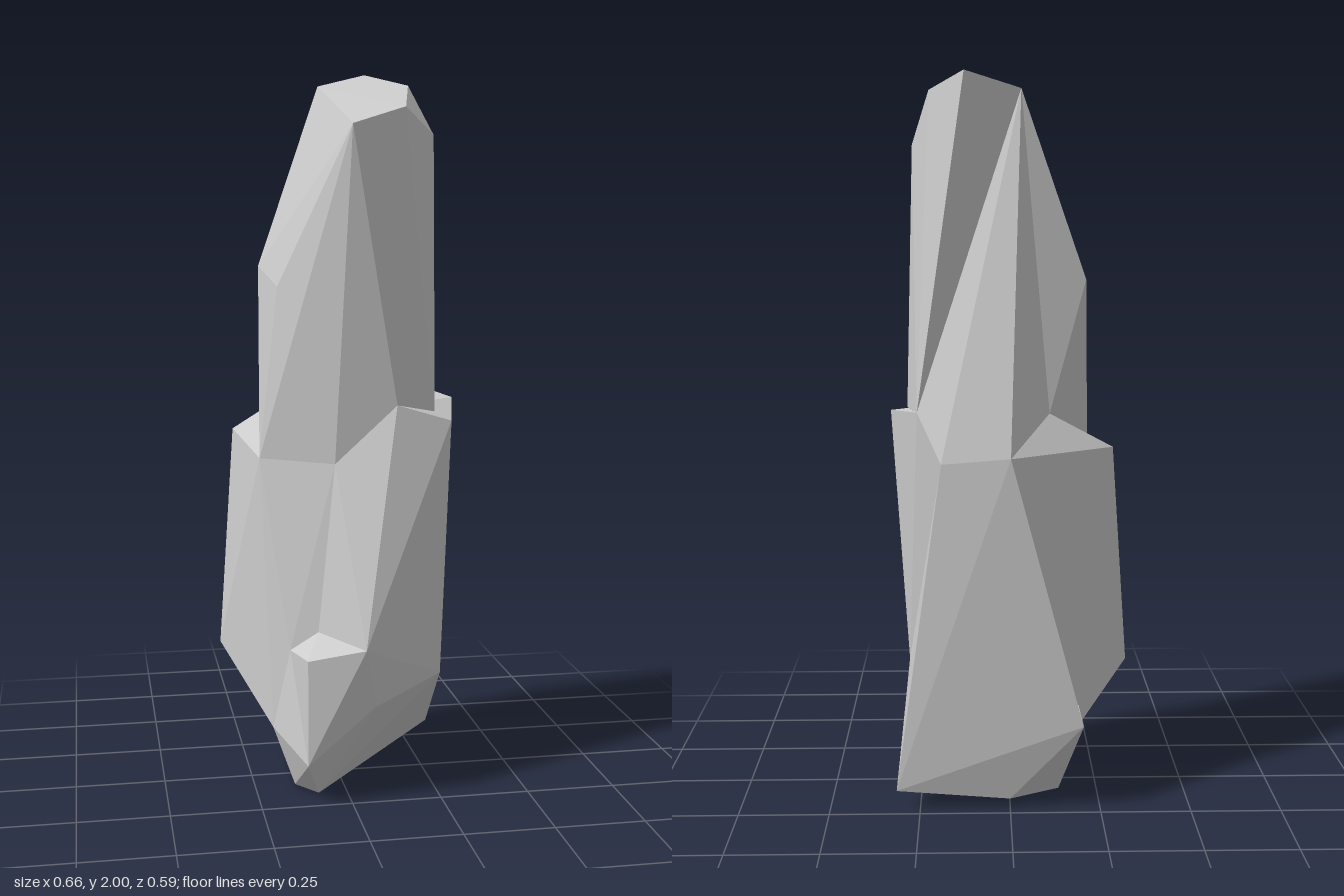
import * as THREE from 'three';
import { ConvexGeometry } from 'three/addons/geometries/ConvexGeometry.js';

// Corners of the rock that neighbouring slabs share
const P = {
  // sloping crown
  crownBack: [0.12, 2.0, -0.235], crownLeft: [-0.03, 1.96, -0.153], crownFront: [0.005, 1.84, 0.213],
  crownFrontR: [0.165, 1.89, 0.125], crownRight: [0.215, 1.96, -0.08], crownDrop: [0.265, 1.82, 0.025],
  // upper flank
  flankBack: [-0.207, 1.46, -0.113], flankFront: [-0.175, 1.41, 0.05],
  // waist
  waistBack: [0, 1.0, -0.295], waistBackR: [0.185, 0.98, -0.262], waistCorner: [0.25, 1.11, -0.195],
  waistNotch: [-0.108, 1.1, -0.15], waistInR: [0.283, 1.1, -0.015], waistInF: [0.255, 1.06, 0.11],
  ledgeR: [0.33, 1.09, 0], ledgeF: [0.3, 1.04, 0.123], ledgeTip: [0.14, 1.09, 0.155],
  shoulder: [-0.285, 1.0, -0.103], shoulderF: [-0.225, 0.935, 0.035], chest: [-0.03, 0.93, 0.14],
  // lower body
  hip: [-0.33, 0.385, -0.07], heelBack: [-0.2, 0.25, -0.26], heelSide: [-0.2, 0.235, -0.17],
  ankle: [-0.2, 0.18, 0.105], kneeR: [0.27, 0.325, 0.14], dent: [0.285, 0.36, 0.02], spur: [0.315, 0.055, -0.222],
  // toe block
  toeLow: [-0.125, 0.12, 0.265], toeTop: [-0.125, 0.415, 0.265], toeTip: [0.03, 0.445, 0.293],
  toeR: [0.065, 0.275, 0.255], toeInL: [-0.155, 0.41, 0.135], toeIn: [-0.08, 0.465, 0.16],
  // underside
  soleF: [-0.08, 0, 0.16], soleFL: [-0.14, 0.01, 0.11], soleL: [-0.14, 0.01, -0.1], soleB: [0, 0.025, -0.21],
  // inner points where slabs overlap
  core: [0, 0.5, 0], coreTop: [0.1, 1.0, 0],
};

// Each slab is the convex block spanned by its corners
const SLABS = {
  shardRight: 'crownBack crownLeft crownFront crownFrontR crownRight crownDrop ' +
    'waistCorner waistInR waistInF ledgeTip chest',
  shardLeft: 'crownLeft crownFront flankBack flankFront waistNotch shoulderF chest coreTop',
  backFin: 'crownLeft waistBack waistCorner waistNotch waistBackR coreTop',
  leftSlab: 'shoulder shoulderF waistBack waistNotch chest hip heelSide ankle toeInL toeIn core coreTop',
  rightSlab: 'ledgeR ledgeF ledgeTip kneeR dent waistCorner waistBackR toeR toeTip core',
  frontWedge: 'ledgeTip chest toeIn toeTip core coreTop',
  backSlab: 'waistBack waistBackR dent kneeR spur heelBack heelSide soleB core',
  base: 'soleF soleFL soleL soleB spur kneeR toeR toeLow toeInL ankle heelBack heelSide',
  toeBlock: 'toeLow toeTop toeTip toeR toeInL toeIn soleF core',
};

export function createModel() {
  const rock = new THREE.Group();
  rock.name = 'rockPillar';
  const stone = new THREE.MeshStandardMaterial({ color: 0xcccccc, flatShading: true });
  for (const [name, corners] of Object.entries(SLABS)) {
    const points = corners.split(' ').map((c) => new THREE.Vector3(...P[c]));
    const slab = new THREE.Mesh(new ConvexGeometry(points), stone);
    slab.name = name;
    rock.add(slab);
  }
  return rock;
}
